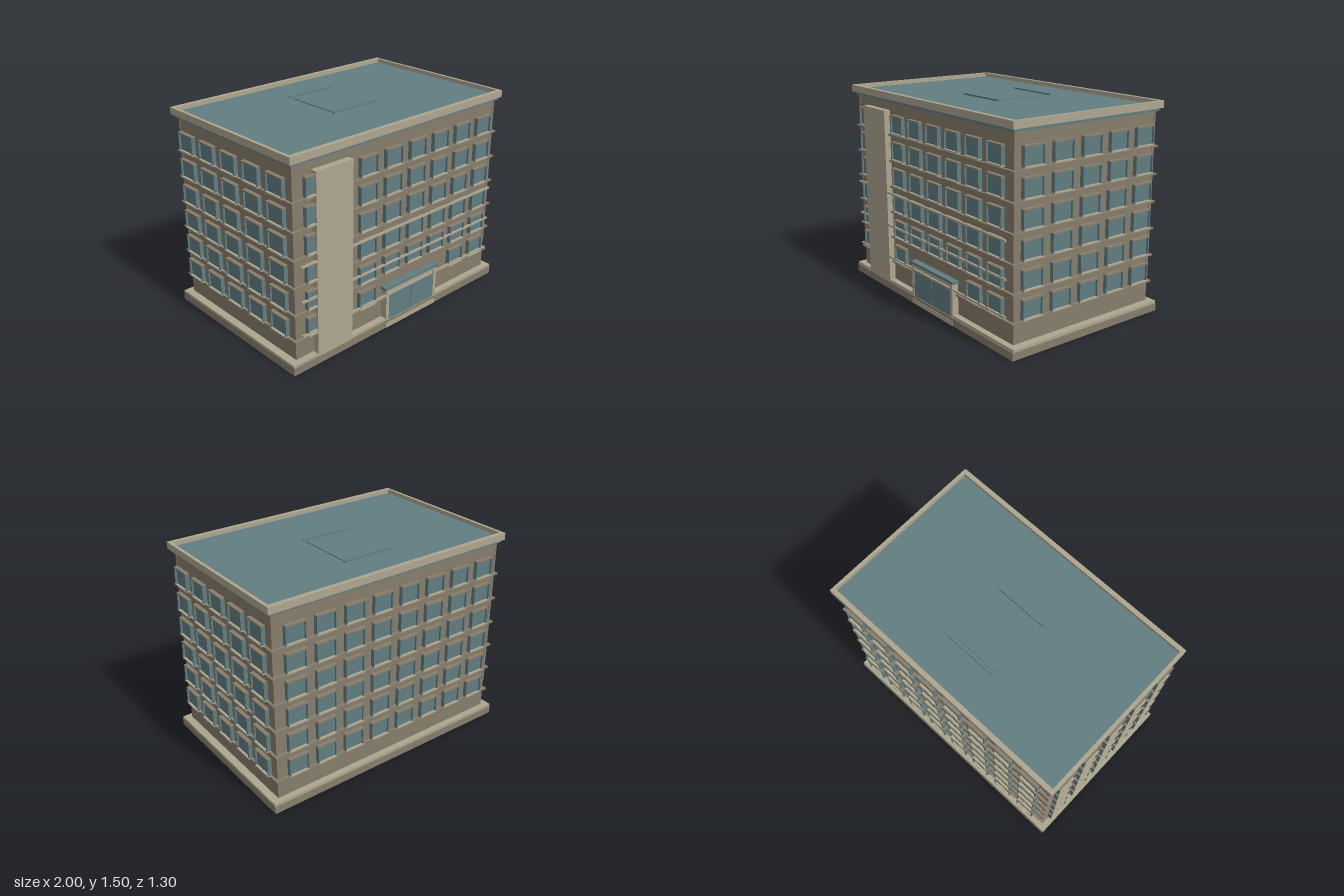
import * as THREE from 'three';
import { mergeGeometries } from 'three/addons/utils/BufferGeometryUtils.js';

const mat = (name, color) => Object.assign(new THREE.MeshStandardMaterial({ color }), { name });

// Box given by its minimum and maximum corners
function box(x0, x1, y0, y1, z0, z1) {
  const g = new THREE.BoxGeometry(x1 - x0, y1 - y0, z1 - z0);
  return g.translate((x0 + x1) / 2, (y0 + y1) / 2, (z0 + z1) / 2);
}
// Box centred on the vertical axis, from half sizes
const slab = (hx, hz, y0, y1) => box(-hx, hx, y0, y1, -hz, hz);

// Rectangular outline with slightly rounded corners
function roundRect(x0, x1, y0, y1, r, Type = THREE.Shape) {
  const s = new Type();
  s.moveTo(x0 + r, y0).lineTo(x1 - r, y0).quadraticCurveTo(x1, y0, x1, y0 + r);
  s.lineTo(x1, y1 - r).quadraticCurveTo(x1, y1, x1 - r, y1);
  s.lineTo(x0 + r, y1).quadraticCurveTo(x0, y1, x0, y1 - r);
  s.lineTo(x0, y0 + r).quadraticCurveTo(x0, y0, x0 + r, y0);
  return s;
}

export function createModel() {
  const model = new THREE.Group();
  const wall = mat('brown wall', 0x867d6b);
  const trim = mat('pale stone', 0xada690);
  const teal = mat('teal glass and roof', 0x627d81);
  const add = (name, material, ...geos) => {
    const mesh = new THREE.Mesh(geos.length > 1 ? mergeGeometries(geos) : geos[0], material);
    mesh.name = name;
    model.add(mesh);
  };
  const HX = 0.945, HZ = 0.6, FLOOR = 0.194;

  // Plinth and main body
  add('plinth', wall, slab(1, 0.648, 0, 0.055));
  add('plinthCap', trim, slab(1, 0.643, 0.055, 0.075));
  add('body', wall, slab(HX, HZ, 0.075, 1.43));

  // Cornice, parapet and roof
  add('cornice', teal, slab(0.965, 0.618, 1.428, 1.45));
  add('parapet', trim,
    box(-0.985, 0.985, 1.45, 1.5, 0.605, 0.638), box(-0.985, 0.985, 1.45, 1.5, -0.638, -0.605),
    box(-0.985, -0.962, 1.45, 1.5, -0.605, 0.605), box(0.962, 0.985, 1.45, 1.5, -0.605, 0.605));
  add('roof', teal, slab(0.963, 0.606, 1.451, 1.47));

  // Roof hatch with two rails
  const hatch = new THREE.ExtrudeGeometry(roundRect(-0.195, 0.185, -0.13, 0.3, 0.02),
    { depth: 0.006, bevelEnabled: false, curveSegments: 4 }).rotateX(-Math.PI / 2).translate(0, 1.47, 0);
  add('roofHatch', teal, hatch);
  add('hatchRails', teal,
    box(-0.205, 0.195, 1.47, 1.482, -0.33, -0.318), box(-0.205, 0.195, 1.47, 1.482, 0.138, 0.15));

  // Windows and floor ledges, one facade at a time
  const facades = [
    { name: 'front', turn: 0, out: HZ, cols: 8, gap: 0.2275, w: 0.154 },
    { name: 'left', turn: Math.PI / 2, out: HX, cols: 5, gap: 0.238, w: 0.162 },
    { name: 'back', turn: Math.PI, out: HZ, cols: 8, gap: 0.2275, w: 0.154 },
    { name: 'right', turn: -Math.PI / 2, out: HX, cols: 5, gap: 0.238, w: 0.162 },
  ];
  for (const f of facades) {
    const glass = [], heads = [], sills = [];
    const d0 = f.out + 0.014, d1 = f.out + 0.044;
    for (let row = 0; row < 6; row++) {
      const y = 0.238 + row * FLOOR, top = y + 0.138;
      for (let col = 0; col < f.cols; col++) {
        const front = f.name === 'front';
        if (front && (col === 1 || (row === 0 && col > 2 && col < 6))) continue;
        const c = (col - (f.cols - 1) / 2) * f.gap, h = f.w / 2;
        glass.push(box(c - h + 0.01, c + h - 0.01, y + 0.01, top - 0.01, d0, d1 - 0.014));
        for (const s of [-1, 1]) {
          const m = c + s * (h - 0.005);
          glass.push(box(m - 0.005, m + 0.005, y + 0.008, top - 0.008, d0, d1));
        }
        heads.push(box(c - h, c + h, top - 0.01, top, d0, d1));
        sills.push(box(c - h, c + h, y, y + 0.01, d0, d1 + 0.003));
      }
    }
    for (const list of [glass, heads, sills]) list.forEach(g => g.rotateY(f.turn));
    add(f.name + 'WindowPanes', teal, ...glass);
    add(f.name + 'WindowHeads', wall, ...heads);
    add(f.name + 'WindowSills', trim, ...sills);
  }
  const ledges = [];
  for (let i = 0; i < 6; i++) {
    const y = 0.22 + i * FLOOR;
    ledges.push(slab(0.965, 0.622, y - 0.006, y + 0.006));
  }
  add('floorLedges', wall, ...ledges);

  // Corner strips
  const strips = [];
  for (const sx of [-1, 1]) for (const sz of [-1, 1]) {
    strips.push(slab(0.01, 0.01, 0.295, 1.43).translate(sx * (HX - 0.007), 0, sz * (HZ - 0.007)));
  }
  add('cornerStrips', wall, ...strips);

  // Tall front slab and horizontal rails
  add('stairTower', trim, box(-0.795, -0.49, 0.055, 1.365, HZ, 0.647));
  add('frontRails', trim, ...[0.26, 0.51, 0.76].map(y =>
    box(-0.92, 0.915, y - 0.007, y + 0.007, 0.633, 0.646)));

  // Entrance: posts, lintel, canopy, doors and step
  add('entranceFrame', trim,
    box(-0.17, -0.142, 0.06, 0.3, HZ, 0.648), box(0.318, 0.346, 0.06, 0.3, HZ, 0.648),
    box(-0.142, 0.318, 0.283, 0.3, HZ, 0.648));
  add('entranceHeader', wall, box(-0.142, 0.318, 0.262, 0.283, HZ, 0.632));
  add('entranceCanopy', teal, box(-0.18, 0.355, 0.3, 0.32, HZ, 0.65));
  add('entranceDoors', teal,
    box(-0.142, 0.086, 0.06, 0.262, HZ, 0.645), box(0.09, 0.318, 0.06, 0.262, HZ, 0.645));
  add('entranceStep', trim, box(-0.17, 0.342, 0, 0.035, 0.64, 0.651));

  return model;
}
